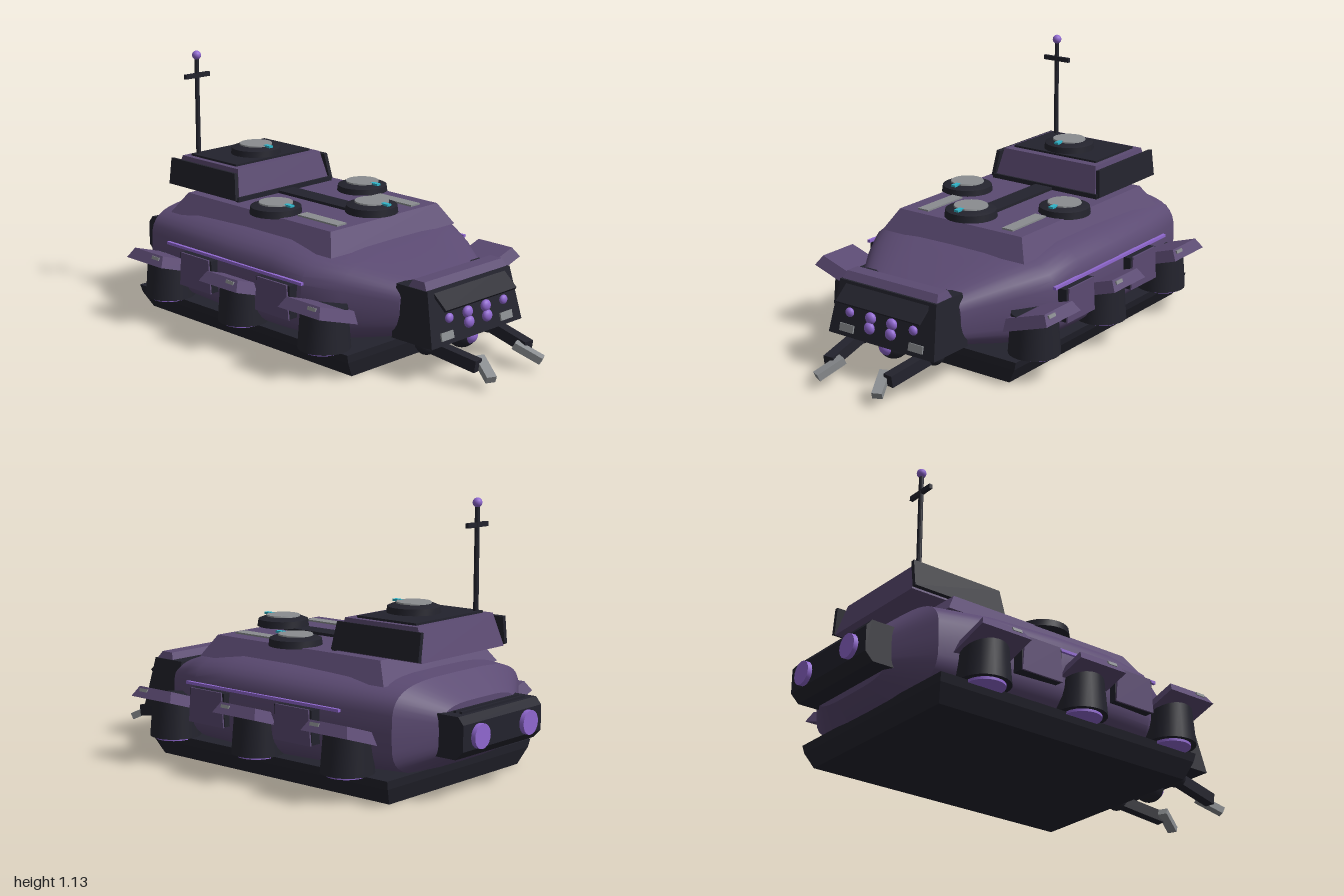
import * as THREE from 'three';
import { toCreasedNormals } from 'three/addons/utils/BufferGeometryUtils.js';

const paint = (name, color, extra) => {
  const m = new THREE.MeshStandardMaterial({ color, ...extra });
  m.name = name;
  return m;
};

export function createModel() {
  const root = new THREE.Group();
  root.name = 'crawler';
  const purple = paint('hull purple', 0x5b4a72);
  const black = paint('charcoal', 0x23232d);
  const glow = paint('bright violet', 0x9068d0);
  const grey = paint('metal grey', 0x8a8d90);
  const cyan = paint('cyan', 0x2fb3c8);

  const add = (name, geo, mat, x = 0, y = 0, z = 0, parent = root) => {
    const m = new THREE.Mesh(geo, mat);
    m.name = name;
    m.position.set(x, y, z);
    parent.add(m);
    return m;
  };
  const box = (w, h, d) => new THREE.BoxGeometry(w, h, d);
  const cyl = (rTop, rBottom, h, n = 24) =>
    toCreasedNormals(new THREE.CylinderGeometry(rTop, rBottom, h, n), 0.6);
  const ball = (r) => new THREE.SphereGeometry(r, 16, 12);

  // Block between two rectangles, each given as [y, half width, z back, z front]
  const frustum = (low, high) => {
    const g = box(1, 1, 1), p = g.attributes.position;
    for (let i = 0; i < p.count; i++) {
      const [y, w, z0, z1] = p.getY(i) < 0 ? low : high;
      p.setXYZ(i, Math.sign(p.getX(i)) * w, y, p.getZ(i) < 0 ? z0 : z1);
    }
    g.computeVertexNormals();
    return g;
  };

  // Box stretched from point a to point b
  const beam = (name, a, b, w, h, mat) => {
    const from = new THREE.Vector3(...a), to = new THREE.Vector3(...b);
    const mid = from.clone().add(to).multiplyScalar(0.5);
    const m = add(name, box(w, h, from.distanceTo(to)), mat, mid.x, mid.y, mid.z);
    m.lookAt(to);
    return m;
  };

  // Hull: rounded cross-sections joined along z, [z, half width, bottom, top]
  const sections = [
    [-0.87, 0.25, 0.15, 0.37], [-0.76, 0.42, 0.085, 0.46], [-0.5, 0.47, 0.075, 0.48],
    [-0.2, 0.49, 0.07, 0.485], [0.08, 0.492, 0.07, 0.485], [0.26, 0.48, 0.075, 0.46],
    [0.4, 0.4, 0.09, 0.43], [0.6, 0.265, 0.13, 0.365],
  ];
  const N = 40, pos = [], idx = [];
  const curve = (v) => Math.sign(v) * Math.abs(v) ** (2 / 3.8);
  for (const [z, w, y0, y1] of sections) {
    for (let i = 0; i < N; i++) {
      const a = (i / N) * Math.PI * 2;
      pos.push(w * curve(Math.cos(a)), (y0 + y1) / 2 + ((y1 - y0) / 2) * curve(Math.sin(a)), z);
    }
  }
  for (let s = 0; s < sections.length - 1; s++) {
    for (let i = 0; i < N; i++) {
      const a = s * N + i, b = s * N + (i + 1) % N;
      idx.push(a, b, a + N, b, b + N, a + N);
    }
  }
  const last = (sections.length - 1) * N;
  for (let i = 1; i < N - 1; i++) {
    idx.push(0, i + 1, i, last, last + i, last + i + 1);
  }
  const hull = new THREE.BufferGeometry();
  hull.setAttribute('position', new THREE.Float32BufferAttribute(pos, 3));
  hull.setIndex(idx);
  add('hull', toCreasedNormals(hull, 0.5), purple);

  // Base skid
  add('skidLower', frustum([0, 0.425, -0.755, 0.495], [0.07, 0.465, -0.78, 0.515]), black);
  add('skidUpper', frustum([0.07, 0.465, -0.78, 0.515], [0.105, 0.475, -0.785, 0.52]), black);

  // Raised deck with strips
  add('deck', frustum([0.44, 0.372, -0.68, 0.325], [0.53, 0.32, -0.62, 0.27]), purple);
  add('deckSpine', box(0.09, 0.02, 0.5), black, 0, 0.532, -0.1);
  for (const s of [-1, 1]) add('deckStrip', box(0.055, 0.008, 0.235), grey, s * 0.222, 0.533, 0.118);

  // Cabin
  add('cabin', frustum([0.53, 0.27, -0.785, -0.34], [0.665, 0.245, -0.745, -0.375]), purple);
  add('cabinRoofPanel', box(0.44, 0.012, 0.3), black, 0, 0.668, -0.565);
  add('cabinFrontSill', box(0.56, 0.02, 0.02), black, 0, 0.54, -0.345);
  for (const s of [-1, 1]) {
    const plate = add('cabinSidePlate', frustum([-0.058, 0.009, -0.22, 0.225], [0.058, 0.009, -0.22, 0.205]),
      black, s * 0.276, 0.594, -0.565);
    plate.rotation.z = s * 0.13;
  }

  // Round hatches with a metal cap and a cyan marker
  for (const [x, y, z] of [[-0.26, 0.525, -0.12], [0.26, 0.525, -0.12], [0, 0.54, 0.19], [0, 0.67, -0.53]]) {
    const hatch = new THREE.Group();
    hatch.name = 'hatch';
    hatch.position.set(x, y, z);
    root.add(hatch);
    add('hatchRing', cyl(0.108, 0.112, 0.03, 28), black, 0, 0.015, 0, hatch);
    add('hatchSlope', cyl(0.078, 0.108, 0.012, 28), black, 0, 0.036, 0, hatch);
    add('hatchCap', cyl(0.072, 0.074, 0.008, 20), grey, 0, 0.044, 0, hatch);
    add('hatchMarker', box(0.022, 0.009, 0.04), cyan, 0, 0.0445, 0.082, hatch);
  }

  // Antenna
  add('antennaMast', cyl(0.01, 0.011, 0.44, 10), black, -0.19, 0.885, -0.7);
  add('antennaBar', box(0.135, 0.02, 0.015), black, -0.19, 1.025, -0.7);
  add('antennaTip', ball(0.02), glow, -0.19, 1.115, -0.7);

  // Head
  add('head', frustum([0.145, 0.275, 0.57, 0.785], [0.365, 0.25, 0.57, 0.735]), black);
  add('headCap', frustum([0.365, 0.245, 0.63, 0.725], [0.395, 0.235, 0.645, 0.705]), purple);
  beam('visor', [0, 0.36, 0.72], [0, 0.292, 0.8], 0.43, 0.012, black);
  const faceZ = (y) => 0.785 - (y - 0.145) * 0.227;
  for (const s of [-1, 1]) {
    for (const [x, y, r] of [[0.165, 0.25, 0.02], [0.055, 0.25, 0.025], [0.055, 0.21, 0.025]]) {
      add('eyeLight', ball(r), glow, s * x, y, faceZ(y) + 0.015).scale.z = 0.7;
    }
    add('headPlate', box(0.072, 0.032, 0.008), grey, s * 0.18, 0.18, faceZ(0.18) + 0.003).rotation.x = -0.22;

    // Arms with claws
    add('shoulder', ball(0.045), black, s * 0.19, 0.125, 0.68);
    beam('arm', [s * 0.19, 0.13, 0.64], [s * 0.155, 0.085, 0.92], 0.045, 0.05, black);
    beam('claw', [s * 0.11, 0.098, 0.885], [s * 0.157, 0.046, 0.99], 0.042, 0.03, grey);
  }
  add('chinSocket', ball(0.065), black, 0, 0.135, 0.7);
  add('chinLight', ball(0.035), glow, 0, 0.13, 0.74);

  // Side pods, panels and stripes
  for (const s of [-1, 1]) {
    for (const z of [0.382, -0.1, -0.58]) {
      add('pod', cyl(0.095, 0.108, 0.17), black, s * 0.467, 0.192, z);
      add('podGlow', cyl(0.08, 0.08, 0.012), glow, s * 0.475, 0.102, z);
      const fender = new THREE.Group();
      fender.name = 'fender';
      fender.position.set(s * 0.495, 0.268, z);
      fender.rotation.z = s * 0.31;
      root.add(fender);
      add('fenderSlab', frustum([-0.024, 0.112, -0.118, 0.118], [0.024, 0.098, -0.095, 0.095]),
        purple, 0, 0, 0, fender);
      add('fenderMarker', box(0.008, 0.014, 0.045), grey, s * 0.104, 0.008, 0.06, fender);
    }
    for (const z of [0.138, -0.34]) {
      add('sidePanelBack', box(0.08, 0.14, 0.2), black, s * 0.48, 0.267, z);
      add('sidePanel', frustum([0.195, 0.004, z - 0.1, z + 0.1], [0.34, 0.004, z - 0.088, z + 0.088]),
        purple, s * 0.523);
    }
    add('sideStripe', box(0.014, 0.012, 0.84), glow, s * 0.492, 0.35, -0.138);
  }

  // Rear engine block, extruded across x from its side outline
  const outline = [[0.84, 0.345], [0.955, 0.345], [0.98, 0.315], [0.98, 0.21], [0.945, 0.175], [0.84, 0.175]];
  const rear = new THREE.ExtrudeGeometry(new THREE.Shape(outline.map(([a, b]) => new THREE.Vector2(a, b))),
    { depth: 0.52, bevelEnabled: false });
  rear.rotateY(Math.PI / 2).translate(-0.26, 0, 0);
  add('rearBlock', rear, black);
  for (const z of [-0.9, -0.93]) add('rearRib', box(0.42, 0.012, 0.012), black, 0, 0.348, z);
  for (const s of [-1, 1]) {
    add('rearLight', cyl(0.05, 0.05, 0.03, 20), glow, s * 0.16, 0.26, -0.985).rotation.x = Math.PI / 2;
  }
  return root;
}
